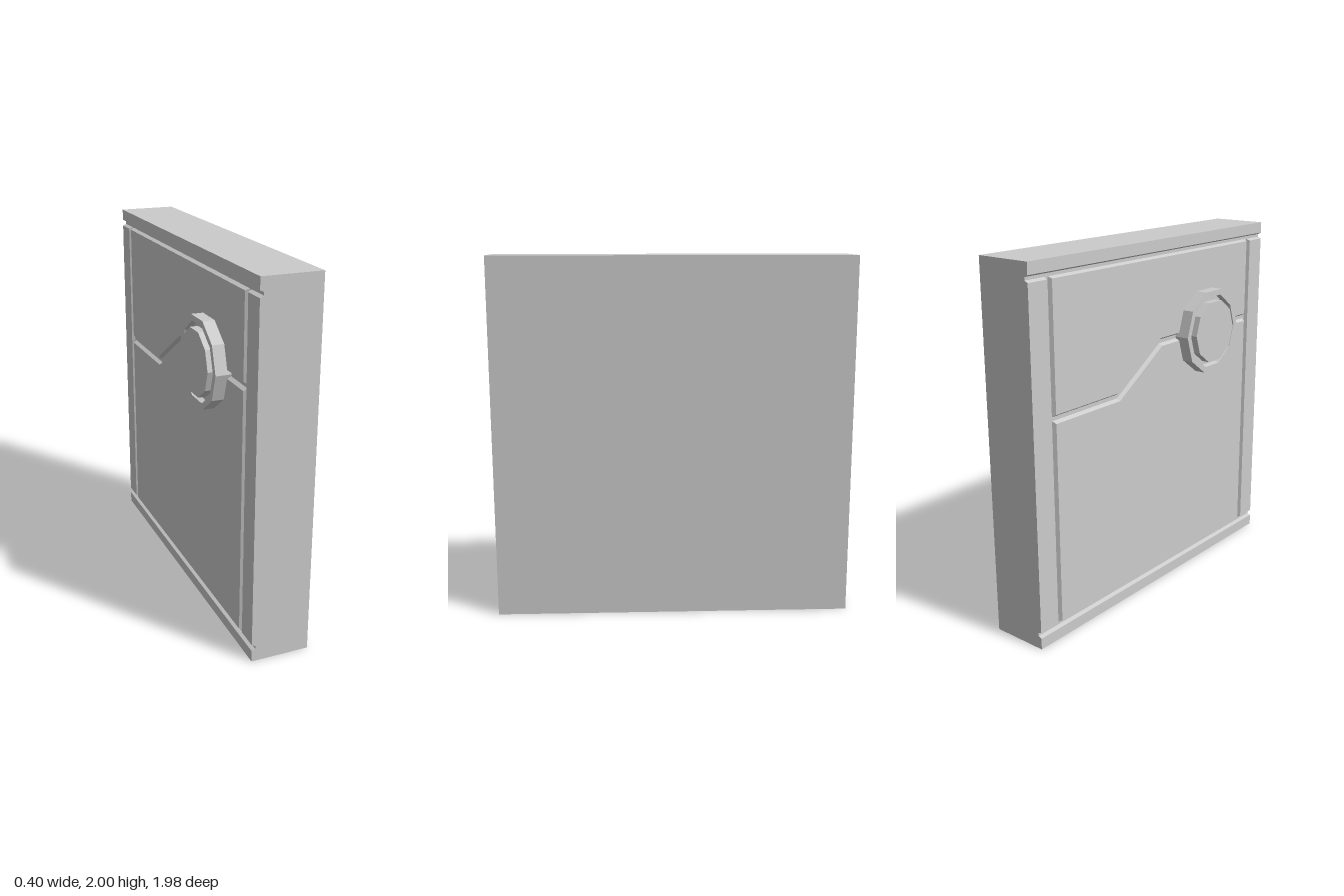
import * as THREE from 'three';

const FACE = -0.12;   // carved side of the slab
const FLOOR = -0.1;   // bottom of the grooves
const HALF_Z = 0.99;
const HEIGHT = 2;

const material = new THREE.MeshStandardMaterial({ color: 0xcccccc, flatShading: true });

function addMesh(parent, name, geometry) {
  const mesh = new THREE.Mesh(geometry, material);
  mesh.name = name;
  parent.add(mesh);
  return mesh;
}

// Move each edge i of a counter-clockwise outline inwards by dist[i].
function inset(points, dist) {
  const n = points.length;
  const lines = points.map((p, i) => {
    const d = points[(i + 1) % n].clone().sub(p).normalize();
    return { d, p: p.clone().add(new THREE.Vector2(-d.y, d.x).multiplyScalar(dist[i])) };
  });
  return lines.map((b, i) => {
    const a = lines[(i + n - 1) % n];
    const t = b.p.clone().sub(a.p).cross(b.d) / a.d.cross(b.d);
    return a.p.clone().addScaledVector(a.d, t);
  });
}

// Raised plate on the carved side: outline in (z, y), with sloping walls
// wherever an edge borders a groove of the given half width (0 = flush edge).
function plateGeometry(outline, halfWidths) {
  const points = outline.map(([z, y]) => new THREE.Vector2(z, y));
  const low = inset(points, halfWidths.map((w) => w * 0.45));
  const high = inset(points, halfWidths);
  const pos = [];
  const put = (p, x) => pos.push(x, p.y, p.x);
  points.forEach((_, i) => {
    const j = (i + 1) % points.length;
    put(low[i], FLOOR); put(low[j], FLOOR); put(high[j], FACE);
    put(low[i], FLOOR); put(high[j], FACE); put(high[i], FACE);
  });
  for (const tri of THREE.ShapeUtils.triangulateShape(high, [])) {
    tri.forEach((k) => put(high[k], FACE));
  }
  const geometry = new THREE.BufferGeometry();
  geometry.setAttribute('position', new THREE.Float32BufferAttribute(pos, 3));
  geometry.computeVertexNormals();
  return geometry;
}

// Ten-sided turned part whose axis points out of the carved side.
function turned(profile) {
  const points = profile.map(([r, h]) => new THREE.Vector2(r, h));
  return new THREE.LatheGeometry(points, 10).rotateZ(Math.PI / 2);
}

export function createModel() {
  const model = new THREE.Group();
  model.name = 'wallPanel';

  // Solid body behind the grooves
  const core = addMesh(model, 'slab', new THREE.BoxGeometry(0.2 - FLOOR, HEIGHT, HALF_Z * 2));
  core.position.set((0.2 + FLOOR) / 2, HEIGHT / 2, 0);

  // Centre lines of the grooves
  const low = 0.08, high = 1.92, side = 0.85;
  const g = 0.018, w = 0.023;

  const rect = (z0, z1, y0, y1) => [[z0, y0], [z1, y0], [z1, y1], [z0, y1]];

  // Border strips
  addMesh(model, 'bottomStrip', plateGeometry(rect(-HALF_Z, HALF_Z, 0, low), [0, 0, g, 0]));
  addMesh(model, 'topStrip', plateGeometry(rect(-HALF_Z, HALF_Z, high, HEIGHT), [g, 0, 0, 0]));
  addMesh(model, 'backStrip', plateGeometry(rect(-HALF_Z, -side, low, high), [g, g, g, 0]));
  addMesh(model, 'frontStrip', plateGeometry(rect(side, HALF_Z, low, high), [g, 0, g, g]));

  // Two large fields divided by the stepped groove
  const step = [[-side, 1.21], [-0.355, 1.21], [0.005, 1.44], [side, 1.44]];
  addMesh(model, 'upperField',
    plateGeometry([...step, [side, high], [-side, high]], [w, w, w, g, g, g]));
  addMesh(model, 'lowerField',
    plateGeometry([[-side, low], [side, low], ...step.slice().reverse()], [g, g, w, w, w, g]));

  // Round fitting: rim with a recessed channel around a central boss
  const fitting = new THREE.Group();
  fitting.name = 'roundFitting';
  fitting.position.set(FLOOR, 1.44, 0.405);
  model.add(fitting);
  addMesh(fitting, 'rim', turned([[0.245, 0], [0.245, 0.085], [0.212, 0.085], [0.205, 0.055], [0, 0.055]]));
  addMesh(fitting, 'boss', turned([[0.181, 0.05], [0.181, 0.1], [0, 0.1]]));

  return model;
}
